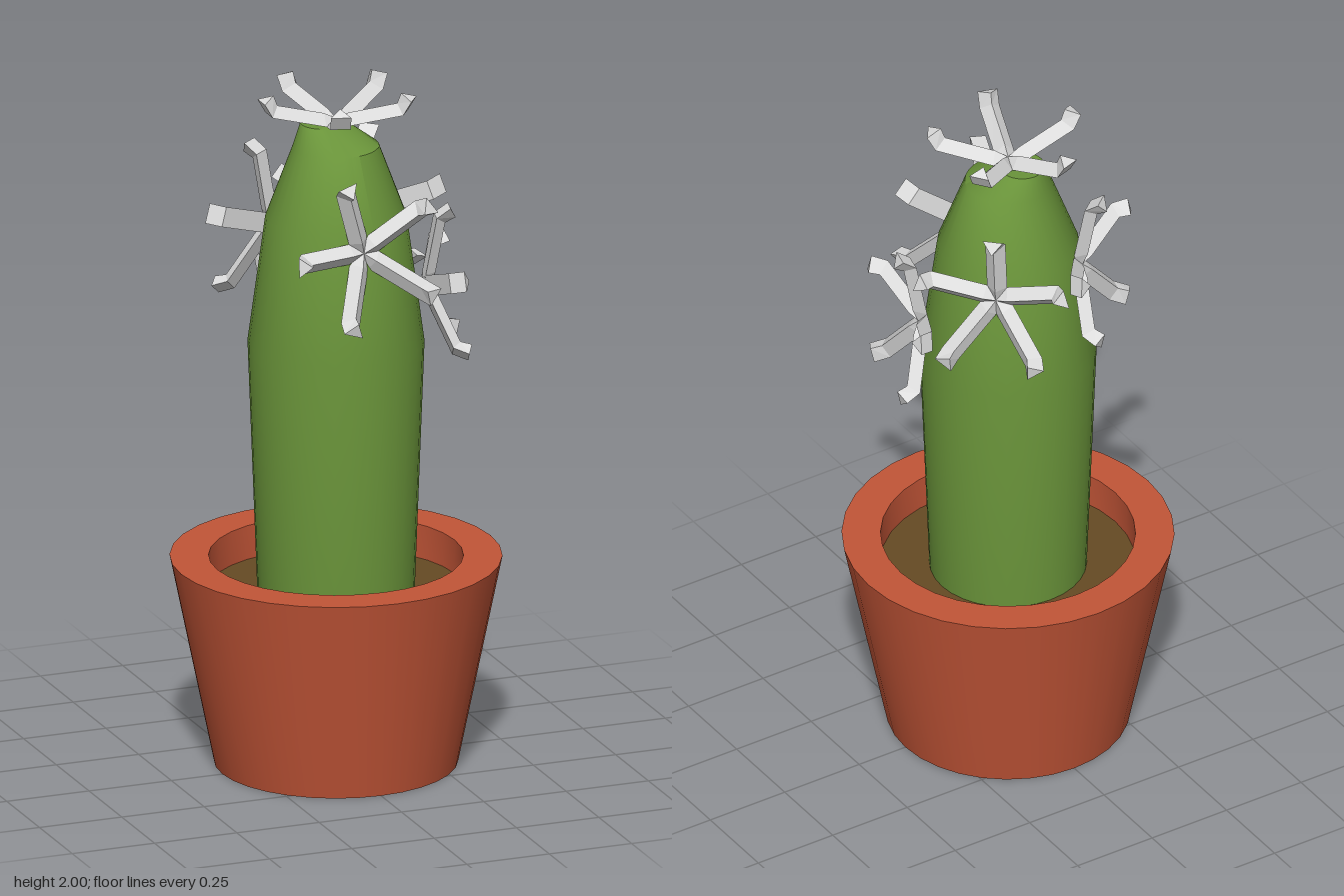
import * as THREE from 'three';
import { toCreasedNormals } from 'three/addons/utils/BufferGeometryUtils.js';

const material = (name, color) => {
  const m = new THREE.MeshStandardMaterial({ color });
  m.name = name;
  return m;
};

// Revolved profile with sharp edges kept sharp
function lathe(points) {
  return new THREE.LatheGeometry(points.map(([r, y]) => new THREE.Vector2(r, y)), 32);
}

// Triangular bar with a ridge on top, bent upwards at its tip.
// Each section: half width, base (r, h), ridge (r, h)
function petalGeometry() {
  const sections = [
    [0.02, 0, 0, 0, 0.025],
    [0.029, 0.04, 0.012, 0.036, 0.044],
    [0.029, 0.203, 0.058, 0.178, 0.084],
    [0.029, 0.227, 0.1, 0.19, 0.115],
  ];
  const positions = [];
  const index = [];
  sections.forEach(([w, br, bh, rr, rh], s) => {
    positions.push(br, bh, -w, br, bh, w, rr, rh, 0);
    if (s === 0) return;
    for (let i = 0; i < 3; i++) {
      const j = (i + 1) % 3;
      const p = 3 * (s - 1);
      const q = 3 * s;
      index.push(p + i, q + i, p + j, p + j, q + i, q + j);
    }
  });
  const end = 3 * (sections.length - 1);
  index.push(0, 1, 2, end, end + 2, end + 1);
  const g = new THREE.BufferGeometry();
  g.setAttribute('position', new THREE.Float32BufferAttribute(positions, 3));
  g.setIndex(index);
  const flat = g.toNonIndexed();
  flat.computeVertexNormals();
  return flat;
}

export function createModel() {
  const model = new THREE.Group();
  model.name = 'pottedCactus';

  const terracotta = material('terracotta', 0xc25537);
  const earth = material('earth', 0x664b24);
  const green = material('cactusGreen', 0x6a943a);
  const white = material('petalWhite', 0xdedede);

  const add = (name, geometry, mat, parent = model) => {
    const mesh = new THREE.Mesh(geometry, mat);
    mesh.name = name;
    parent.add(mesh);
    return mesh;
  };

  // Pot with a thick rim
  const pot = lathe([[0, 0], [0.345, 0], [0.47, 0.61], [0.36, 0.61], [0.36, 0.5]]);
  add('pot', toCreasedNormals(pot, 0.6), terracotta);

  // Soil disc inside the pot
  const soil = add('soil', new THREE.CircleGeometry(0.36, 32), earth);
  soil.rotation.x = -Math.PI / 2;
  soil.position.y = 0.51;

  // Cactus stem, its flat tip leaning slightly off centre
  const stem = lathe([[0.222, 0.5], [0.25, 1.25], [0.2, 1.62], [0.122, 1.83], [0.065, 1.89], [0, 1.89]]);
  const pos = stem.attributes.position;
  for (let i = 0; i < pos.count; i++) {
    if (pos.getY(i) > 1.85) {
      pos.setX(i, pos.getX(i) - 0.025);
      pos.setZ(i, pos.getZ(i) - 0.035);
    }
  }
  add('cactusStem', toCreasedNormals(stem, 0.65), green);

  // Five-petalled flowers: name, centre, heading, lean from upright, spin (degrees)
  const petal = petalGeometry();
  const rad = THREE.MathUtils.degToRad;
  const flowers = [
    ['topFlower', [0, 1.885, 0], 0, 0, 180],
    ['frontFlower', [0, 1.57, 0.19], 0, 84, 180],
    ['leftFlower', [0.235, 1.4, 0.06], 77, 85, 90],
    ['backLeftFlower', [0.135, 1.57, -0.155], 136, 83, 90],
    ['backRightFlower', [-0.135, 1.57, -0.135], -141, 85, 90],
  ];
  for (const [name, centre, heading, lean, spin] of flowers) {
    const flower = new THREE.Group();
    flower.name = name;
    flower.position.set(...centre);
    flower.rotation.set(rad(lean), rad(heading), 0, 'YXZ');
    for (let i = 0; i < 5; i++) {
      add('petal', petal, white, flower).rotation.y = rad(spin + i * 72);
    }
    model.add(flower);
  }
  return model;
}
